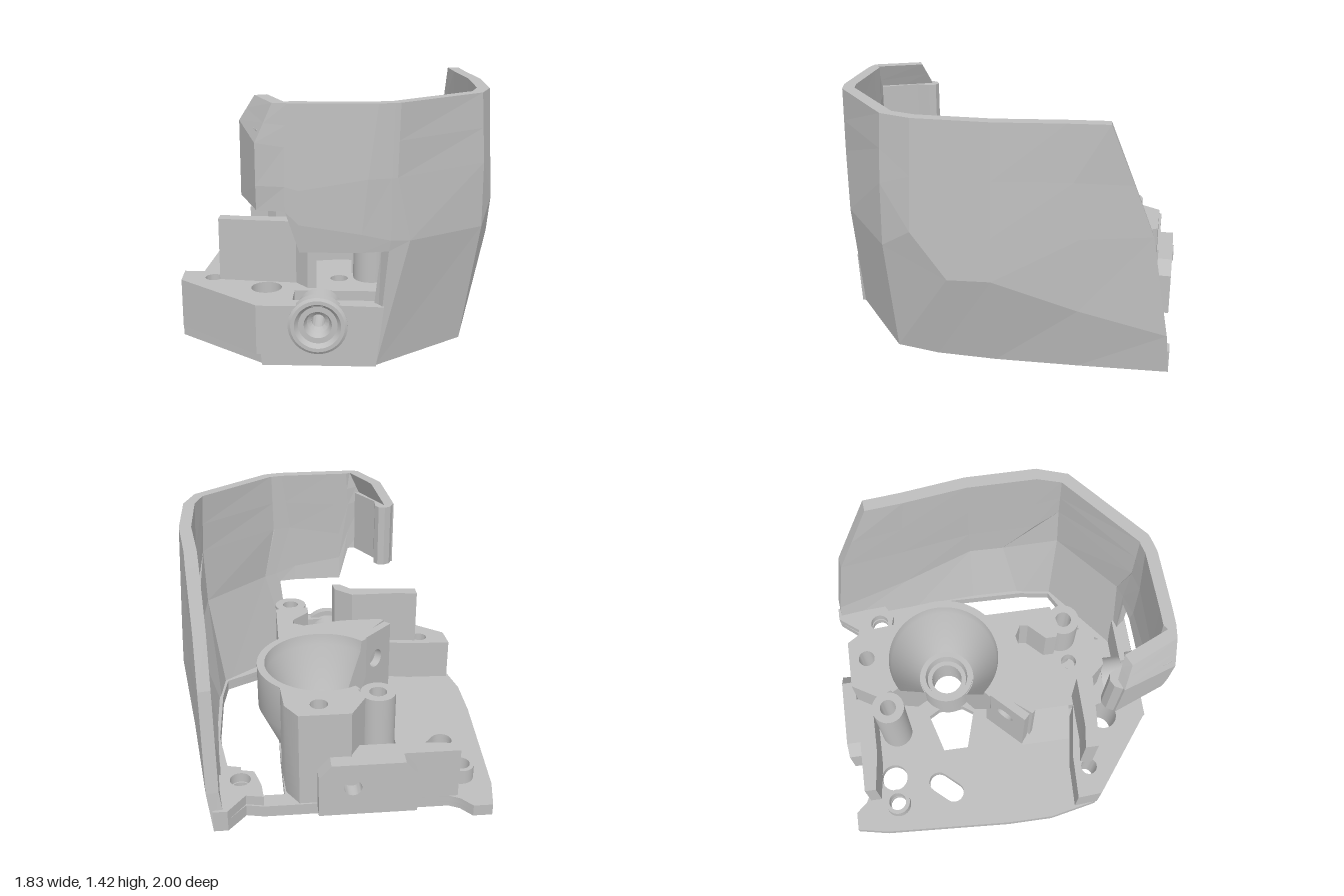
import * as THREE from 'three';
import { toCreasedNormals } from 'three/addons/utils/BufferGeometryUtils.js';

const grey = new THREE.MeshStandardMaterial({ color: 0xbebebe, side: THREE.DoubleSide });
grey.name = 'grey plastic';

// Circle outline as [a, b] points
const circle = (cx, cy, r, n = 28) => Array.from({ length: n }, (_, i) => {
  const t = (i / n) * Math.PI * 2;
  return [cx + r * Math.cos(t), cy + r * Math.sin(t)];
});
// Rounded slot between two points
function slot(ax, az, bx, bz, r) {
  const a = Math.atan2(bz - az, bx - ax), pts = [];
  for (let i = 0; i <= 21; i++) {
    const first = i <= 10, t = a + Math.PI / 2 + ((first ? i : i - 1) / 10) * Math.PI;
    pts.push([(first ? ax : bx) + r * Math.cos(t), (first ? az : bz) + r * Math.sin(t)]);
  }
  return pts;
}
function extrude(outline, holes, depth, flip) {
  const v = p => p.map(([a, b]) => new THREE.Vector2(a, flip ? -b : b));
  const shape = new THREE.Shape(v(outline));
  holes.forEach(h => shape.holes.push(new THREE.Path(v(h))));
  return new THREE.ExtrudeGeometry(shape, { depth, bevelEnabled: false });
}
function add(group, name, geometry) {
  const mesh = new THREE.Mesh(toCreasedNormals(geometry, 0.5), grey);
  mesh.name = name;
  group.add(mesh);
}
// Horizontal slab from an x,z outline
const slab = (group, name, outline, y0, y1, holes = []) =>
  add(group, name, extrude(outline, holes, y1 - y0, true).rotateX(-Math.PI / 2).translate(0, y0, 0));
// Upright tube with a through hole
const boss = (group, name, x, z, r, hole, y1) =>
  slab(group, name, circle(x, z, r), 0.06, y1, [circle(x, z, hole)]);

// Faceted shell: columns of points from bottom to top, ordered around the outside
const shellColumns = [
  [[-.49, .87, .66], [-.49, 1, .66], [-.49, 1.28, .66], [-.4, 1.42, .7]],
  [[-.37, .87, .97], [-.37, 1, .98], [-.37, 1.22, .98], [-.28, 1.42, .97]],
  [[-.22, .87, 1], [-.22, 1, 1], [-.22, 1.2, .99], [-.2, 1.42, .98]],
  [[-.15, .65, .985], [-.15, .8, 1], [-.15, .98, 1], [-.1, 1.42, .98]],
  [[.17, .65, .98], [.17, .75, .99], [.2, 1.04, .99], [.25, 1.42, .97]],
  [[.31, .65, .95], [.32, .71, .955], [.32, 1.04, .96], [.33, 1.42, .95]],
  [[.25, 0, .93], [.42, .7, .92], [.35, 1.04, .95], [.36, 1.42, .94]],
  [[.73, 0, .55], [.83, .68, .58], [.83, 1.04, .575], [.81, 1.42, .56]],
  [[.775, 0, .3], [.91, .54, .2], [.9, .8, .4], [.87, 1.42, .38]],
  [[.78, 0, -.04], [.91, .55, -.04], [.9, .8, -.04], [.87, 1.42, -.04]],
  [[.76, 0, -.5], [.83, .38, -.5], [.83, .8, -.5], [.82, 1.42, -.42]],
  [[.73, 0, -1], [.76, .24, -.98], [.77, .82, -.88], [.78, 1.1, -.77], [.8, 1.42, -.64]],
];
function shellGeometry(thickness) {
  const outer = shellColumns.map(c => c.length === 5 ? c
    : [...c.slice(0, 3), c[2].map((v, k) => (v + c[3][k]) / 2), c[3]]);
  const n = outer.length, m = 5;
  const inner = outer.map((c, i) => c.map(([x, y, z], j) => {
    const a = outer[Math.max(i - 1, 0)][j], b = outer[Math.min(i + 1, n - 1)][j];
    const dx = b[0] - a[0], dz = b[2] - a[2], l = Math.hypot(dx, dz);
    return [x + dz / l * thickness, y, z - dx / l * thickness];
  }));
  const pos = [];
  const quad = (a, b, c, d) => pos.push(...a, ...b, ...c, ...a, ...c, ...d);
  for (let i = 0; i < n - 1; i++) {
    for (let j = 0; j < m - 1; j++) {
      quad(outer[i][j], outer[i + 1][j], outer[i + 1][j + 1], outer[i][j + 1]);
      quad(inner[i + 1][j], inner[i][j], inner[i][j + 1], inner[i + 1][j + 1]);
    }
    quad(inner[i][0], inner[i + 1][0], outer[i + 1][0], outer[i][0]);
    quad(outer[i][m - 1], outer[i + 1][m - 1], inner[i + 1][m - 1], inner[i][m - 1]);
  }
  for (let j = 0; j < m - 1; j++) {
    quad(inner[0][j], outer[0][j], outer[0][j + 1], inner[0][j + 1]);
    quad(outer[n - 1][j], inner[n - 1][j], inner[n - 1][j + 1], outer[n - 1][j + 1]);
  }
  const g = new THREE.BufferGeometry();
  g.setAttribute('position', new THREE.Float32BufferAttribute(pos, 3));
  g.computeVertexNormals();
  return g;
}

export function createModel() {
  const model = new THREE.Group();
  model.name = 'housing';
  const bowl = { x: 0.07, z: -0.3 };
  const arc = (r, p0, p1, n = 14) => Array.from({ length: n + 1 }, (_, i) => {
    const p = p0 + (p1 - p0) * i / n;
    return [bowl.x + r * Math.sin(p), bowl.z + r * Math.cos(p)];
  });

  const wall = new THREE.Mesh(shellGeometry(0.07), grey);
  wall.name = 'facetedShell';
  model.add(wall);
  // Thickened, rounded end of the shell
  slab(model, 'shellHook', [[-.48, .65], [-.46, .61], [-.42, .59], [-.38, .6], [-.36, .64], [-.37, .72],
    [-.26, .92], [-.36, .95]], 0.875, 1.28);

  // Base plate in two layers, the lower one with wider screw holes
  const plateOutline = [
    [-.83, -1], [-.72, -1], [-.66, -.93], [-.6, -.9], [.45, -.9], [.55, -.88], [.65, -1], [.73, -1],
    [.78, -.04], [.775, .3], [.73, .55], [.25, .93], [-.36, .93], [-.86, .57], [-.92, .27],
    [-.92, -.02], [-.87, -.81]];
  const openings = [
    [[.33, -.8], [.45, -.8], [.48, -.63], [.58, -.6], [.58, -.52], [.66, -.5], [.71, -.2], [.7, .3],
      [.67, .5], [.38, .66], [.27, .8], [.27, .64], [.34, .4], [.34, -.4]],
    [[-.38, -.38], [-.13, -.45], [-.09, -.38], [-.09, -.22], [-.14, -.15], [-.38, -.22]],
    slot(-.67, -.35, -.59, -.44, .065),
    circle(-.52, -.73, .085), circle(-.36, .68, .085), circle(bowl.x, bowl.z, .1)];
  const screws = [[-.7, -.72], [-.21, -.68], [.13, -.78], [.58, -.72], [-.68, .53], [.04, .52], [.22, .49]];
  for (const [y0, y1, r] of [[0, .035, .08], [.035, .07, .052]])
    slab(model, 'basePlate', plateOutline, y0, y1,
      [...openings, ...screws.map(([x, z]) => circle(x, z, x > .2 ? Math.min(r, .06) : r))]);

  // Low front block, its front panel and the screw tube
  slab(model, 'frontBlock', [[-.87, .43], [-.6, .44], [-.26, .5], [-.2, .72], [-.2, .86], [-.37, .945],
    [-.39, .945], [-.86, .58]], 0.06, 0.34, [circle(-.68, .53, .05), circle(-.36, .68, .085)]);
  add(model, 'frontPanel', extrude([[-.36, 0], [.25, 0], [.29, .34], [-.39, .34]],
    [circle(-.06, .23, .12)], 0.09).translate(0, 0, 0.86));
  const tube = [[.036, .72], [.125, .72], [.125, .9], [.16, .9], [.16, .955], [.145, .965], [.125, .965],
    [.105, .94], [.075, .94], [.06, .9], [.036, .88], [.036, .72]].map(p => new THREE.Vector2(...p));
  add(model, 'screwTube', new THREE.LatheGeometry(tube, 40).rotateX(Math.PI / 2).translate(-.06, .23, 0));

  // Raised floor behind the front panel, with a ramp down to the plate
  slab(model, 'raisedFloor', [[-.26, .15], [.1, .2], [.3, .2], [.3, .5], [.26, .62], [.26, .72], [-.2, .72],
    [-.26, .5]], 0.26, 0.34, [circle(.04, .52, .05), circle(.22, .49, .05)]);
  add(model, 'ramp', extrude([[-.42, .06], [-.26, .06], [-.26, .34]], [], 0.32).translate(0, 0, .15));

  // Upright fin on the front block
  slab(model, 'fin', [[-.64, .48], [-.5, .5], [-.2, .5], [-.09, .6], [-.08, .68], [-.13, .68], [-.2, .6],
    [-.45, .58], [-.64, .56]], 0.3, 0.7);

  // Conical bowl, open towards the window on one side
  const start = -0.865, sweep = 4.5;
  const cup = [[.17, .05], [.24, .05], [.39, .38], [.39, .65], [.345, .65], [.335, .58], [.18, .26], [.17, .26]]
    .map(p => new THREE.Vector2(...p));
  add(model, 'bowl', new THREE.LatheGeometry([...cup, cup[0]], 48, start, sweep)
    .translate(bowl.x, 0, bowl.z));
  for (const phi of [start, start + sweep])
    add(model, 'bowlEnd', new THREE.ShapeGeometry(new THREE.Shape(cup))
      .rotateY(phi - Math.PI / 2).translate(bowl.x, 0, bowl.z));
  const seat = [[.1, .02], [.175, .02], [.175, .28], [.14, .28], [.13, .22], [.1, .22], [.1, .02]]
    .map(p => new THREE.Vector2(...p));
  add(model, 'bowlSeat', new THREE.LatheGeometry(seat, 40).translate(bowl.x, 0, bowl.z));

  // Block in front of the bowl, with a drilled slanted face
  slab(model, 'middleBlock', [[-.37, .2], ...arc(.375, -.75, 0.9), [.32, 0], [.32, .42], [.2, .45], [.11, .43],
    [.11, .36], [.21, .26], [.22, .21], [.15, .17], [-.1, .22], [-.35, .22]], 0.06, 0.65);
  add(model, 'drilledFace', extrude([[-.15, .06], [.15, .06], [.15, .65], [-.15, .65]],
    [circle(0, .46, .06)], 0.05).rotateY(-Math.PI * 0.75).translate(-.265, 0, .075));
  boss(model, 'frontPost', .22, .49, .1, .05, .65);

  // Rear block behind the bowl, and the drilled rear pad
  slab(model, 'rearBlock', [[.32, -.78], [.25, -.89], [-.04, -.89], [-.13, -.74], ...arc(.375, 3.6, 2.35)],
    0.06, 0.65, [circle(.13, -.78, .05)]);
  slab(model, 'rearWall', [[-.65, -.9], [-.04, -.9], [-.04, -.8], [-.42, -.8], [-.65, -.83]], 0.06, 0.38);
  add(model, 'rearPad', extrude([[-.4, .05], [.15, .05], [.15, .3], [.08, .38], [-.33, .38], [-.4, .3]],
    [circle(-.04, .23, .05)], 0.085).translate(0, 0, -.985));
  boss(model, 'rearPost', -.21, -.68, .1, .05, .65);
  boss(model, 'rearRightFoot', -.7, -.72, .08, .055, .16);

  // Foot below the shell's rear end
  slab(model, 'rearLeftFoot', [[.45, -.89], [.55, -.87], [.65, -1], [.73, -1], [.755, -.7], [.62, -.62],
    [.5, -.65], [.46, -.78]], 0.06, 0.13, [circle(.58, -.72, .06)]);
  return model;
}
